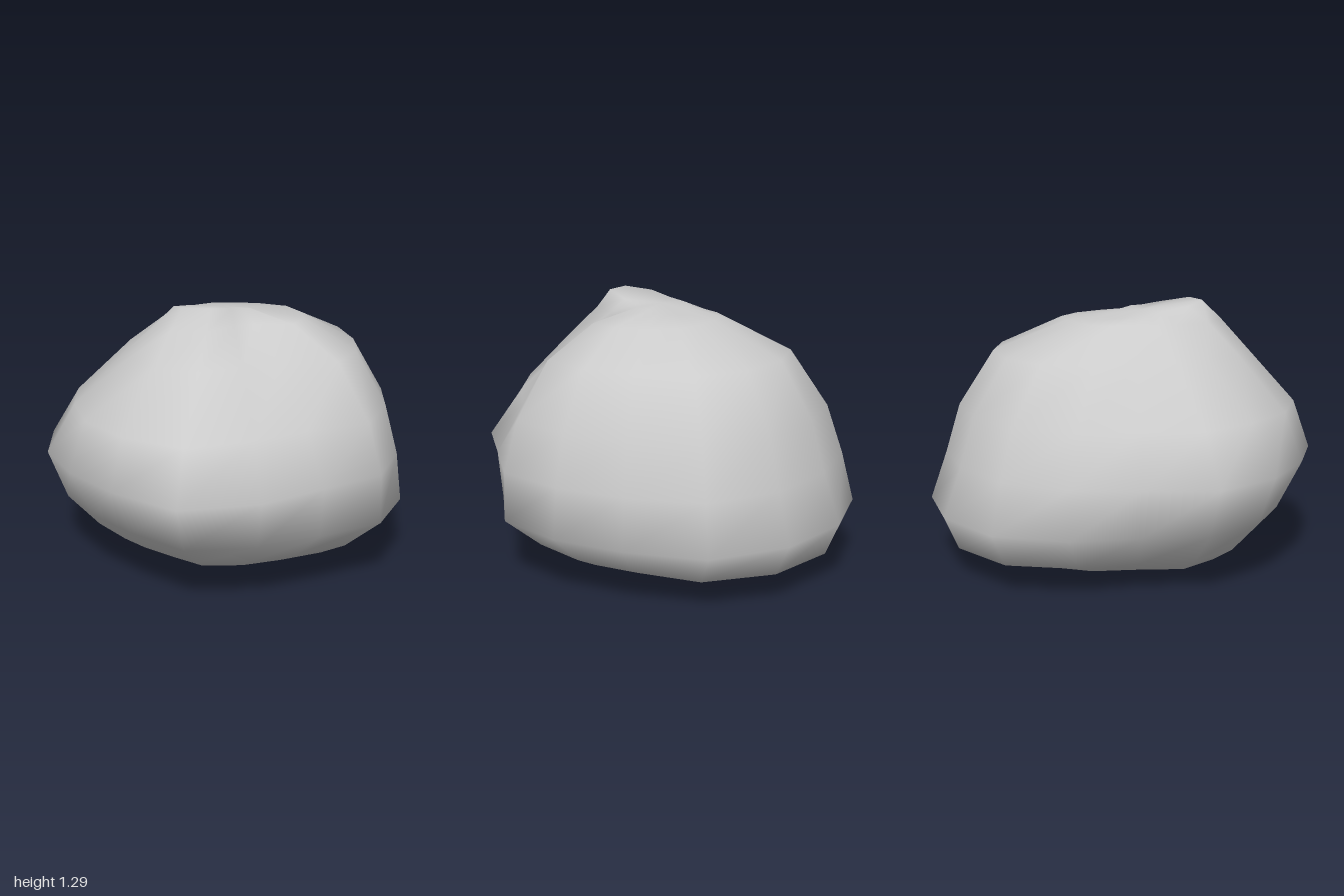
import * as THREE from 'three';

// Plan outline: radii starting at the front (+z), turning through +x, back and -x
const OUTLINE = [1, .94, .87, .92, .9, .92, 1.02, 1.02, 1, .98, .9, .83, .91, .89, .85, .88];
const SIDES = OUTLINE.length;

// Sections from the ground up: share of the outline reached in each direction,
// and how far the front is scooped on the left and swollen on the right
const SECTIONS = [
  { y: 0.00, front: .05, right: .15, back: .17, left: .15, scoop: 0 },
  { y: 0.07, front: .50, right: .62, back: .65, left: .65, scoop: 0 },
  { y: 0.14, front: .63, right: .74, back: .93, left: .80, scoop: 0 },
  { y: 0.30, front: .87, right: .90, back: 1.0, left: 1.0, scoop: 0 },
  { y: 0.54, front: 1.0, right: 1.0, back: .91, left: .97, scoop: .03 },
  { y: 0.78, front: .86, right: .84, back: .84, left: .90, scoop: .10 },
  { y: 1.05, front: .57, right: .53, back: .67, left: .73, scoop: .19 },
  { y: 1.20, front: .40, right: .31, back: .30, left: .44, scoop: .35 },
  { y: 1.24, front: .32, right: .20, back: .14, left: .14, scoop: .35, tilt: .17 },
];

function sectionPoint({ y, front, right, back, left, scoop, tilt = 0 }, k) {
  const a = (k / SIDES) * Math.PI * 2;
  const c = Math.cos(a);
  const s = Math.sin(a);
  const reach = c * c * (c > 0 ? front : back) + s * s * (s > 0 ? left : right);

  // Hollow beside the front ridge, fading out towards both flanks
  const turn = a > Math.PI ? a - Math.PI * 2 : a;
  const hollow = Math.abs(turn) < Math.PI * 0.375 ? Math.sin(turn * 8 / 3) : 0;
  const radius = OUTLINE[k] * reach * (1 - scoop * hollow);
  return [radius * s, y + tilt * radius * c, radius * c];
}

function boulderGeometry() {
  const points = [];
  const index = [];
  for (const section of SECTIONS) {
    for (let k = 0; k < SIDES; k++) points.push(...sectionPoint(section, k));
  }

  // Skin between neighbouring sections
  for (let s = 0; s < SECTIONS.length - 1; s++) {
    for (let k = 0; k < SIDES; k++) {
      const a = s * SIDES + k;
      const b = s * SIDES + (k + 1) % SIDES;
      index.push(a, b, b + SIDES, a, b + SIDES, a + SIDES);
    }
  }

  // Underside and crown close on one point each
  const bottom = points.length / 3;
  const crown = bottom + 1;
  const last = bottom - SIDES;
  points.push(0, 0, -0.07, -0.03, 1.25, 0.03);
  for (let k = 0; k < SIDES; k++) {
    const next = (k + 1) % SIDES;
    index.push(bottom, next, k, crown, last + k, last + next);
  }

  const geometry = new THREE.BufferGeometry();
  geometry.setAttribute('position', new THREE.Float32BufferAttribute(points, 3));
  geometry.setIndex(index);
  geometry.computeVertexNormals();
  return geometry;
}

export function createModel() {
  const model = new THREE.Group();
  model.name = 'rock';
  const boulder = new THREE.Mesh(
    boulderGeometry(),
    new THREE.MeshStandardMaterial({ color: 0xcccccc }),
  );
  boulder.name = 'boulder';
  model.add(boulder);
  return model;
}
